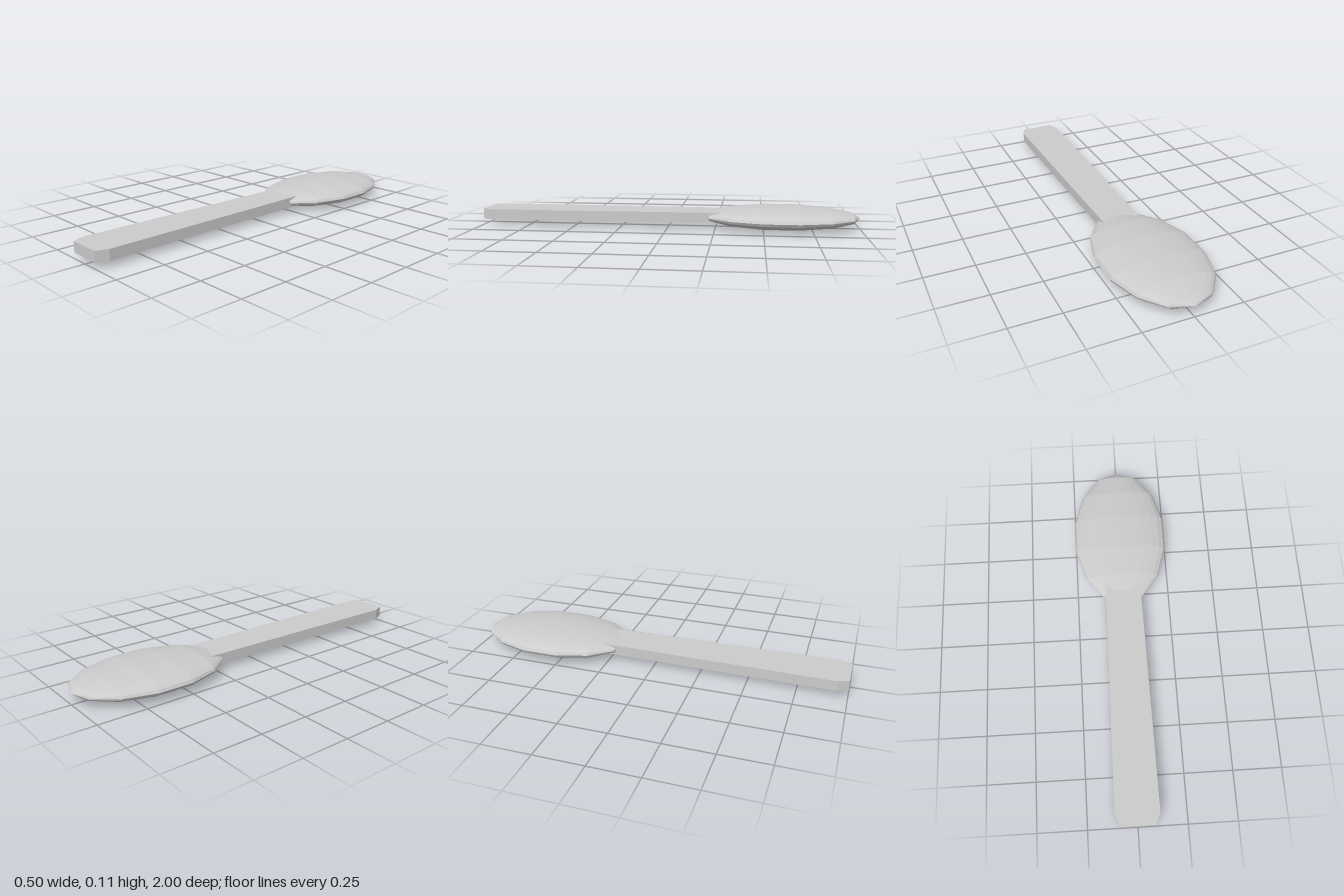
import * as THREE from 'three';

const MID_Y = 0.059; // shared mid-plane of bowl and handle

export function createModel() {
  const group = new THREE.Group();
  const material = new THREE.MeshStandardMaterial({ color: 0xcccccc, flatShading: true });

  // Bowl: a low-poly flattened ellipsoid with its poles along z
  const bowlGeo = new THREE.SphereGeometry(1, 24, 7);
  bowlGeo.rotateX(Math.PI / 2);
  bowlGeo.scale(0.256, 0.0586, 0.41);
  const bowl = new THREE.Mesh(bowlGeo, material);
  bowl.name = 'bowl';
  bowl.position.set(0, MID_Y, -0.59);
  group.add(bowl);

  // Handle: a flat tapering bar with clipped corners, running into the bowl
  const thickness = 0.055;
  const half = [[0.093, -0.4], [0.112, 0.94], [0.088, 1]]; // [x, z]
  const outline = [
    ...half,
    ...half.map(([x, z]) => [-x, z]).reverse(),
  ].map(([x, z]) => new THREE.Vector2(x, -z));
  const handleGeo = new THREE.ExtrudeGeometry(new THREE.Shape(outline), {
    depth: thickness,
    bevelEnabled: false,
  });
  handleGeo.rotateX(-Math.PI / 2);
  const handle = new THREE.Mesh(handleGeo, material);
  handle.name = 'handle';
  handle.position.y = MID_Y + 0.001 - thickness / 2;
  group.add(handle);

  return group;
}
